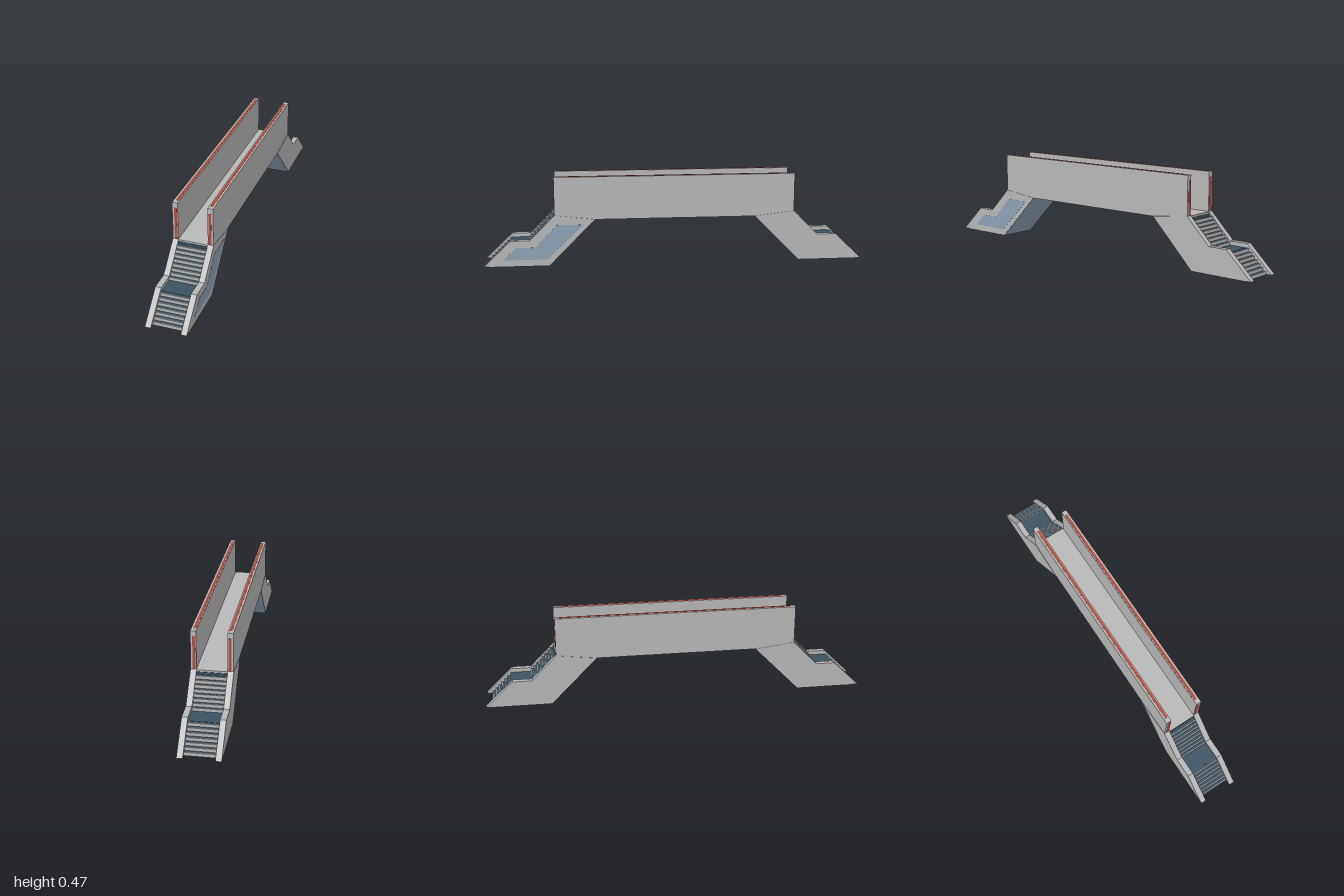
import * as THREE from 'three';

const mat = (name, color) => Object.assign(new THREE.MeshStandardMaterial({ color }), { name });

export function createModel() {
  const concrete = mat('concrete grey', 0xb8b8b8);
  const red = mat('panel red', 0xb04a3e);
  const lightBlue = mat('light blue', 0x8fa3b6);
  const darkBlue = mat('dark blue', 0x3c5260);

  const model = new THREE.Group();
  model.name = 'footbridge';

  const box = (parent, name, material, w, h, d, x, y, z) => {
    const mesh = new THREE.Mesh(new THREE.BoxGeometry(w, h, d), material);
    mesh.position.set(x, y, z);
    mesh.name = name;
    parent.add(mesh);
  };
  // Side profile of [z, y] points, extruded across from x0 to x1
  const slab = (parent, name, material, points, x0, x1) => {
    const shape = new THREE.Shape(points.map(([z, y]) => new THREE.Vector2(z, y)));
    const geo = new THREE.ExtrudeGeometry(shape, { depth: x1 - x0, bevelEnabled: false });
    geo.rotateY(-Math.PI / 2).translate(x1, 0, 0);
    const mesh = new THREE.Mesh(geo, material);
    mesh.name = name;
    parent.add(mesh);
  };

  // Deck and parapets with inlaid red panels
  box(model, 'deck', concrete, 0.15, 0.025, 1.27, 0, 0.2555, 0);
  const parapet = [[-0.42, 0.243], [0.42, 0.243], [0.63, 0.268], [0.63, 0.468],
    [-0.63, 0.468], [-0.63, 0.268]];
  for (const s of [-1, 1]) {
    slab(model, 'parapet', concrete, parapet, s > 0 ? 0.075 : -0.103, s > 0 ? 0.103 : -0.075);
    box(model, 'parapetTopPanel', red, 0.014, 0.002, 1.21, s * 0.0865, 0.468, 0);
    for (const e of [-1, 1]) {
      box(model, 'parapetEndPanel', red, 0.014, 0.172, 0.002, s * 0.0865, 0.354, e * 0.63);
    }
  }

  // One flight of steps: grey risers, dark treads, climbing towards the deck
  const flight = (parent, count, zStart, zEnd, yStart, yEnd) => {
    const run = (zStart - zEnd) / count;
    const rise = (yEnd - yStart) / count;
    for (let i = 0; i < count; i++) {
      const z = zStart - i * run;
      const y = yStart + i * rise;
      box(parent, 'riser', concrete, 0.15, rise, 0.004, 0, y + rise / 2, z - 0.002);
      box(parent, 'tread', darkBlue, 0.15, 0.003, run, 0, y + rise - 0.002, z - run / 2 - 0.002);
    }
  };

  const sideWall = [[1, 0.002], [0.86, 0.137], [0.76, 0.137], [0.63, 0.268],
    [0.423, 0.243], [0.662, 0.002]];
  const underside = [[0.97, 0], [0.66, 0], [0.42, 0.243], [0.42, 0.246],
    [0.661, 0.003], [0.97, 0.003]];

  for (const end of [1, -1]) {
    const stair = new THREE.Group();
    stair.name = end > 0 ? 'frontStair' : 'backStair';
    if (end < 0) stair.rotation.y = Math.PI;
    slab(stair, 'leftStairWall', concrete, sideWall, 0.075, 0.1045);
    slab(stair, 'rightStairWall', concrete, sideWall, -0.1045, -0.075);
    slab(stair, 'underside', lightBlue, underside, -0.104, 0.104);
    flight(stair, 7, 0.97, 0.855, 0.002, 0.115);
    box(stair, 'landing', darkBlue, 0.15, 0.004, 0.095, 0, 0.114, 0.8075);
    flight(stair, 8, 0.762, 0.642, 0.115, 0.247);
    box(stair, 'topRiser', darkBlue, 0.15, 0.012, 0.004, 0, 0.252, 0.636);
    model.add(stair);
  }

  // Blue side panel on the left of the front stair
  slab(model, 'sidePanel', lightBlue, [[0.9, 0.035], [0.83, 0.1], [0.73, 0.1],
    [0.62, 0.217], [0.48, 0.217], [0.67, 0.035]], 0.1035, 0.1055);

  return model;
}
